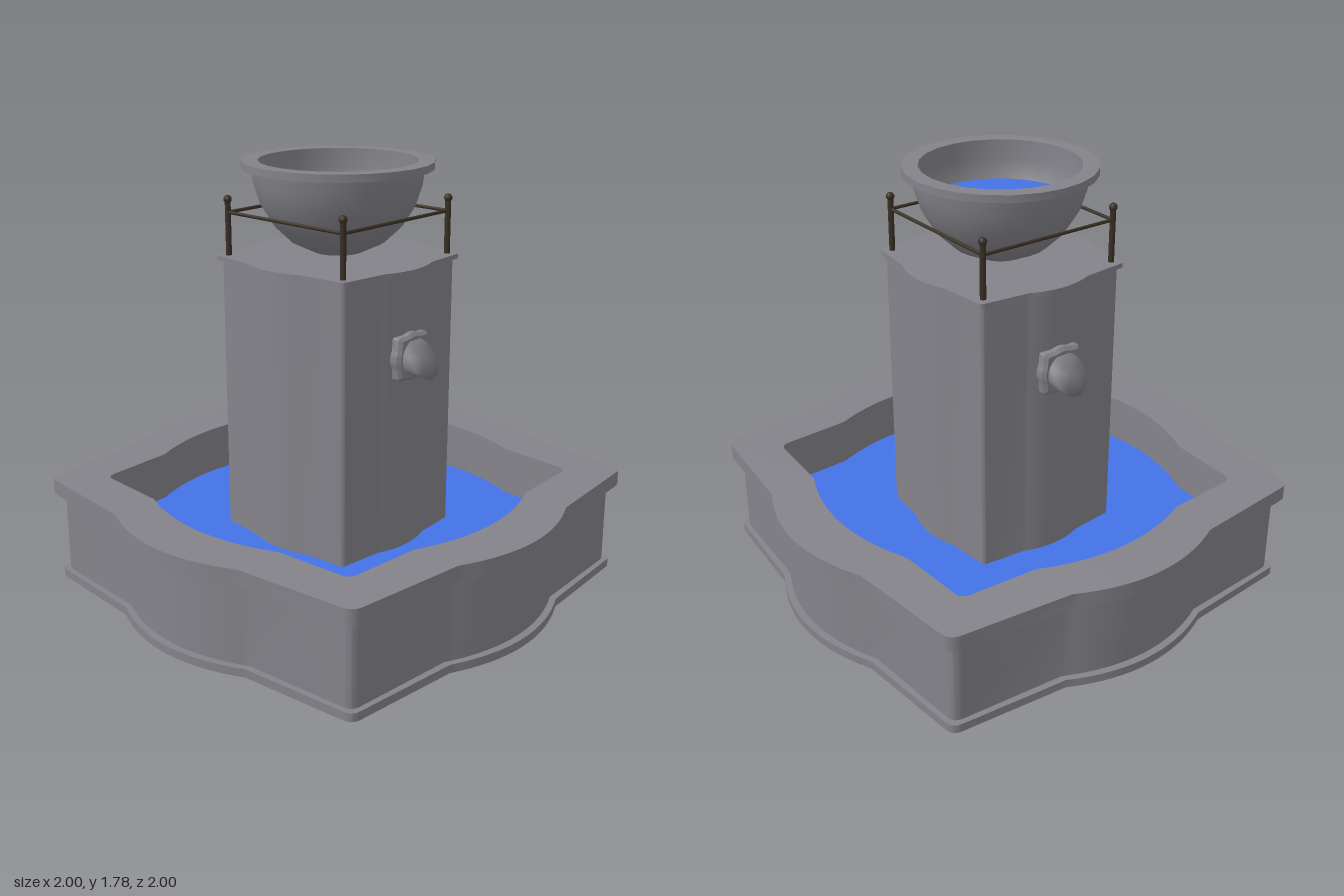
import * as THREE from 'three';
import { mergeVertices, toCreasedNormals } from 'three/addons/utils/BufferGeometryUtils.js';

const material = (name, color) => {
  const m = new THREE.MeshStandardMaterial({ color, side: THREE.DoubleSide });
  m.name = name;
  return m;
};

// Four-sided outline: each side bulges to b, notches in to n at half-width w,
// then runs to a rounded corner at c with radius r.
function outline(b, n, w, c, r) {
  const q = new THREE.Path();
  const k = r * (n - c) / (c - w);
  q.moveTo(b, 0);
  q.quadraticCurveTo(b, w / 2, n, w);
  q.lineTo(c + k, c - r);
  q.quadraticCurveTo(c, c, c - r, c + k);
  q.lineTo(w, n);
  q.quadraticCurveTo(w / 2, b, 0, b);
  const quarter = q.getPoints(8).slice(0, -1);
  const pts = [];
  for (let i = 0; i < 4; i++) {
    const a = i * Math.PI / 2;
    for (const p of quarter) pts.push(p.clone().rotateAround(new THREE.Vector2(), a));
  }
  return pts;
}

// Skin through a list of [outline, height] sections.
function loft(sections) {
  const n = sections[0][0].length;
  const pos = [], idx = [];
  for (const [pts, y] of sections) for (const p of pts) pos.push(p.x, y, p.y);
  for (let s = 0; s < sections.length - 1; s++) {
    for (let j = 0; j < n; j++) {
      const a = s * n + j, b = s * n + (j + 1) % n;
      idx.push(a, a + n, b, b, a + n, b + n);
    }
  }
  const g = new THREE.BufferGeometry();
  g.setAttribute('position', new THREE.Float32BufferAttribute(pos, 3));
  g.setIndex(idx);
  return toCreasedNormals(g, 0.6);
}

// Flat horizontal sheet, optionally with a hole.
function sheet(pts, y, hole) {
  const s = new THREE.Shape(pts);
  if (hole) s.holes.push(new THREE.Path(hole));
  return new THREE.ShapeGeometry(s).rotateX(-Math.PI / 2).translate(0, y, 0);
}

export function createModel() {
  const root = new THREE.Group();
  root.name = 'fountain';
  const stone = material('grey stone', 0x84838a);
  const water = material('blue water', 0x4473e8);
  const iron = material('dark iron', 0x3a3024);

  const add = (name, geo, mat, parent = root) => {
    const m = new THREE.Mesh(geo, mat);
    m.name = name;
    parent.add(m);
    return m;
  };

  // Basin: foot moulding, wall, overhanging rim and inner wall in one skin
  const foot = outline(0.975, 0.888, 0.35, 0.845, 0.04);
  const wall = outline(0.945, 0.86, 0.35, 0.825, 0.04);
  const rim = outline(1, 0.912, 0.35, 0.86, 0.05);
  const lip = outline(0.79, 0.71, 0.36, 0.69, 0.04);
  const pool = outline(0.8, 0.72, 0.36, 0.7, 0.04);
  const body = outline(0.376, 0.348, 0.14, 0.33, 0.015);
  add('basin', loft([
    [foot, 0], [foot, 0.035], [wall, 0.035], [wall, 0.386], [rim, 0.386],
    [rim, 0.45], [lip, 0.45], [lip, 0.386], [pool, 0.386], [pool, 0.04],
  ]), stone);
  add('basinFloor', sheet(pool, 0.04, body), stone);
  add('basinWater', sheet(pool, 0.24), water);

  // Column with a thin cap
  const cap = outline(0.4, 0.368, 0.14, 0.347, 0.02);
  add('column', loft([[body, 0.04], [body, 1.38]]), stone);
  add('columnCap', loft([[body, 1.38], [cap, 1.38], [cap, 1.4]]), stone);
  add('columnTop', sheet(cap, 1.4), stone);

  // Spouts on both sides: squarish back plate and a slant-cut pipe
  const plate = outline(0.097, 0.089, 0.035, 0.086, 0.01);
  const collar = outline(0.083, 0.077, 0.035, 0.075, 0.01);
  const plateGeo = loft([[plate, 0.36], [plate, 0.395], [collar, 0.408]]);
  const pipe = new THREE.CylinderGeometry(0.075, 0.075, 1, 24).rotateZ(-Math.PI / 2);
  const p = pipe.attributes.position;
  for (let i = 0; i < p.count; i++) {
    p.setX(i, p.getX(i) > 0 ? 0.449 - p.getY(i) * 0.6 : 0.36);
  }
  // Weld the mouth to the pipe so the shading rounds over its edge
  pipe.deleteAttribute('normal');
  pipe.deleteAttribute('uv');
  const pipeGeo = mergeVertices(pipe);
  pipeGeo.computeVertexNormals();
  for (const side of ['left', 'right']) {
    const spout = new THREE.Group();
    spout.name = side + 'Spout';
    spout.position.y = 1.053;
    spout.rotation.y = side === 'left' ? 0 : Math.PI;
    add('spoutPlate', plateGeo, stone, spout).rotation.z = -Math.PI / 2;
    add('spoutFace', sheet(collar, 0.408), stone, spout).rotation.z = -Math.PI / 2;
    add('spoutPipe', pipeGeo, stone, spout);
    root.add(spout);
  }

  // Bowl on top
  const profile = [
    [0, 1.4], [0.1, 1.415], [0.19, 1.458], [0.26, 1.525], [0.31, 1.605], [0.337, 1.69],
    [0.345, 1.75], [0.383, 1.75], [0.383, 1.78], [0.318, 1.78], [0.318, 1.7],
    [0.302, 1.62], [0.24, 1.53], [0.15, 1.46], [0, 1.43],
  ].map(([x, y]) => new THREE.Vector2(x, y));
  add('bowl', toCreasedNormals(new THREE.LatheGeometry(profile, 24), 0.6), stone);
  add('bowlWater', new THREE.CircleGeometry(0.306, 24).rotateX(-Math.PI / 2).translate(0, 1.62, 0), water);

  // Railing: corner posts with ball tops, joined by thin rails
  const railing = new THREE.Group();
  railing.name = 'railing';
  root.add(railing);
  const d = 0.31;
  for (let i = 0; i < 4; i++) {
    const side = new THREE.Group();
    side.name = 'railingSide';
    side.rotation.y = i * Math.PI / 2;
    add('post', new THREE.CylinderGeometry(0.012, 0.012, 0.22, 10), iron, side).position.set(d, 1.51, d);
    add('postBall', new THREE.SphereGeometry(0.017, 12, 8), iron, side).position.set(d, 1.625, d);
    const rail = add('rail', new THREE.CylinderGeometry(0.007, 0.007, 2 * d, 8), iron, side);
    rail.rotation.z = Math.PI / 2;
    rail.position.set(0, 1.573, d);
    railing.add(side);
  }
  return root;
}
